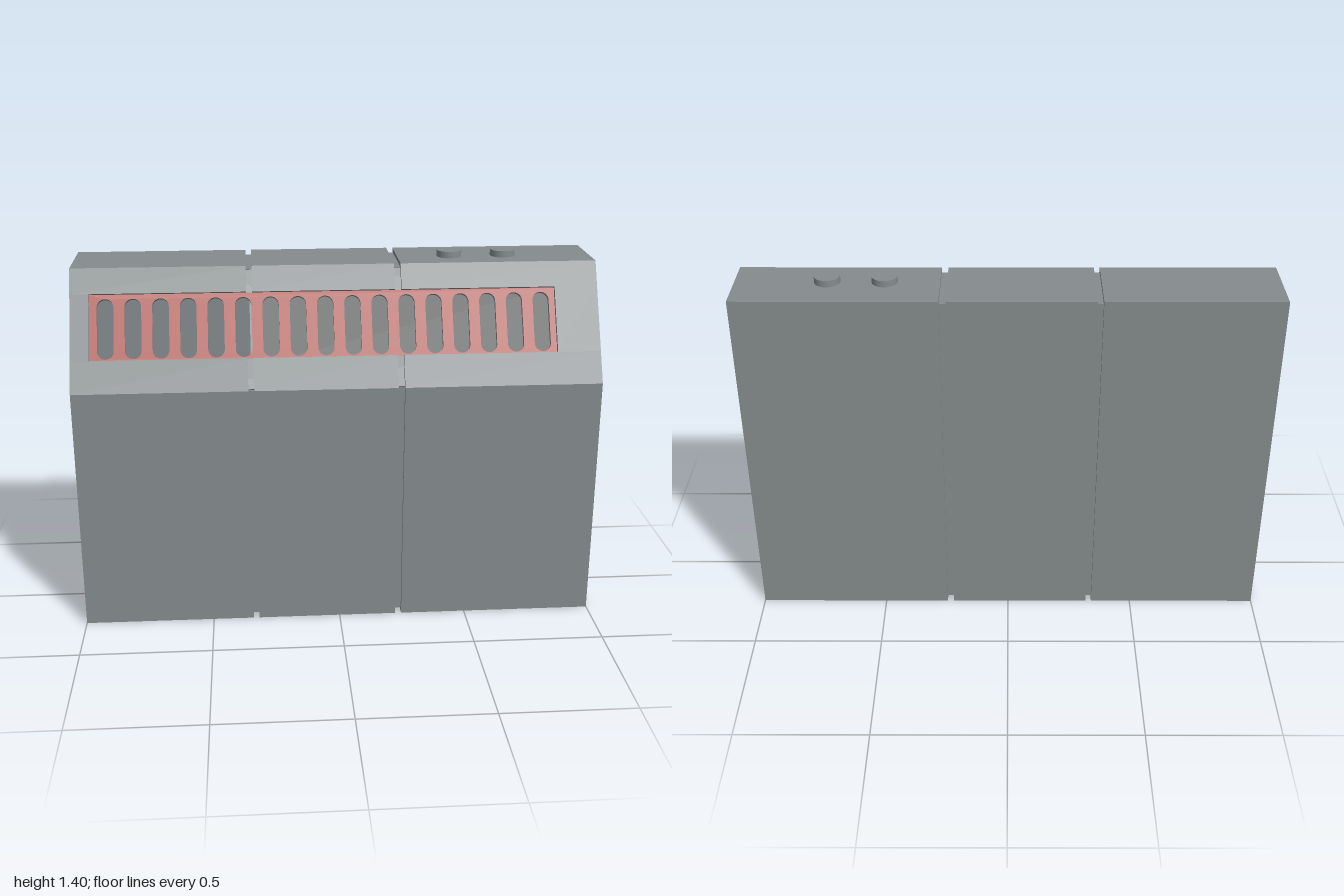
import * as THREE from 'three';

const grey = new THREE.MeshStandardMaterial({ color: 0x858b8d });
grey.name = 'metal grey';
const red = new THREE.MeshStandardMaterial({ color: 0xb0564f });
red.name = 'panel red';
const dark = new THREE.MeshStandardMaterial({ color: 0x3c4040 });
dark.name = 'slot dark';

const TOP = 1.375, HALF = 0.253, BEND = 0.95, RIDGE = 0.03;
const SLOPE = Math.hypot(TOP - BEND, HALF - RIDGE);
const RECESS = 0.014;
// the three cabinet sections, divided by two narrow grooves
const SECTIONS = [[-1, -0.342], [-0.32, 0.222], [0.247, 1]];
const WIN = { x0: -0.93, x1: 0.835, s0: 0.126, s1: 0.38 };

// side outline as (-z, y), moved inward by d, from slope bottom round to slope top
function outline(d) {
  return [
    [-HALF + d, BEND - 0.247 * d],
    [-HALF + d, d],
    [HALF - d, d],
    [HALF - d, TOP - d],
    [-RIDGE + 0.604 * d, TOP - d],
  ].map(([a, b]) => new THREE.Vector2(a, b));
}

// extrude a side outline along x
function alongX(points, x0, x1, name) {
  const geo = new THREE.ExtrudeGeometry(new THREE.Shape(points), { depth: x1 - x0, bevelEnabled: false });
  geo.rotateY(Math.PI / 2).translate(x0, 0, 0);
  const mesh = new THREE.Mesh(geo, grey);
  mesh.name = name;
  return mesh;
}

// wall running round front, floor, back and roof, open at the slope
const shell = (x0, x1, d, t, name) =>
  alongX([...outline(d), ...outline(d + t).reverse()], x0, x1, name);

// box in slope space: x, distance up the slope, depth below it
function slab(x0, x1, s0, s1, z0, z1, material, name) {
  const geo = new THREE.BoxGeometry(x1 - x0, s1 - s0, z1 - z0);
  geo.translate((x0 + x1) / 2, (s0 + s1) / 2, (z0 + z1) / 2);
  const mesh = new THREE.Mesh(geo, material);
  mesh.name = name;
  return mesh;
}

// red grille sheet pierced by round-ended slots
function grille() {
  const s = new THREE.Shape();
  s.moveTo(WIN.x0, WIN.s0);
  s.lineTo(WIN.x1, WIN.s0);
  s.lineTo(WIN.x1, WIN.s1);
  s.lineTo(WIN.x0, WIN.s1);
  const r = 0.031;
  for (let i = 0; i < 17; i++) {
    const x = -0.87 + i * 0.1032;
    const hole = new THREE.Path();
    hole.absarc(x, 0.363 - r, r, 0, Math.PI, false);
    hole.absarc(x, 0.133 + r, r, Math.PI, Math.PI * 2, false);
    hole.closePath();
    s.holes.push(hole);
  }
  const geo = new THREE.ExtrudeGeometry(s, { depth: 0.016, bevelEnabled: false, curveSegments: 10 });
  geo.translate(0, 0, -RECESS - 0.016);
  const mesh = new THREE.Mesh(geo, [red, grey]);
  mesh.name = 'grillePanel';
  return mesh;
}

export function createModel() {
  const model = new THREE.Group();
  model.name = 'cabinet';

  // sloping control face
  const slope = new THREE.Group();
  slope.name = 'slopingFace';
  slope.position.set(0, BEND, HALF);
  slope.rotation.x = -Math.atan2(HALF - RIDGE, TOP - BEND);
  model.add(slope);

  // section walls and the slope borders around the recessed grille
  for (const [x0, x1] of SECTIONS) {
    model.add(shell(x0, x1, 0, 0.018, 'sectionWall'));
    slope.add(slab(x0, x1, 0, WIN.s0, -RECESS, 0, grey, 'lowerBorder'));
    slope.add(slab(x0, x1, WIN.s1, SLOPE, -RECESS, 0, grey, 'upperBorder'));
  }
  slope.add(slab(-1, WIN.x0, WIN.s0, WIN.s1, -0.03, 0, grey, 'rightBorder'));
  slope.add(slab(WIN.x1, 1, WIN.s0, WIN.s1, -0.03, 0, grey, 'leftBorder'));

  // inner core forming the groove floors
  model.add(shell(-0.99, 0.99, 0.016, 0.012, 'innerCore'));
  slope.add(slab(-0.99, 0.99, 0.01, WIN.s0, -0.03, -RECESS, grey, 'lowerBacking'));
  slope.add(slab(-0.99, 0.99, WIN.s1, SLOPE - 0.012, -0.03, -RECESS, grey, 'upperBacking'));

  // end plates and the partition closing the hollow section
  model.add(alongX(outline(0), -1, -0.99, 'rightEndPlate'));
  model.add(alongX(outline(0), 0.99, 1, 'leftEndPlate'));
  model.add(alongX(outline(0.031), -0.33, -0.322, 'partition'));

  // grille and the dark plate behind the closed slots
  slope.add(grille());
  slope.add(slab(-0.325, 0.9, 0.1, 0.4, -0.04, -0.031, dark, 'slotBacking'));

  // two round buttons on the roof
  for (const x of [0.45, 0.66]) {
    const button = new THREE.Mesh(new THREE.CylinderGeometry(0.048, 0.048, 0.035, 32), grey);
    button.position.set(x, 1.3825, -0.09);
    button.name = 'roofButton';
    model.add(button);
  }
  return model;
}
